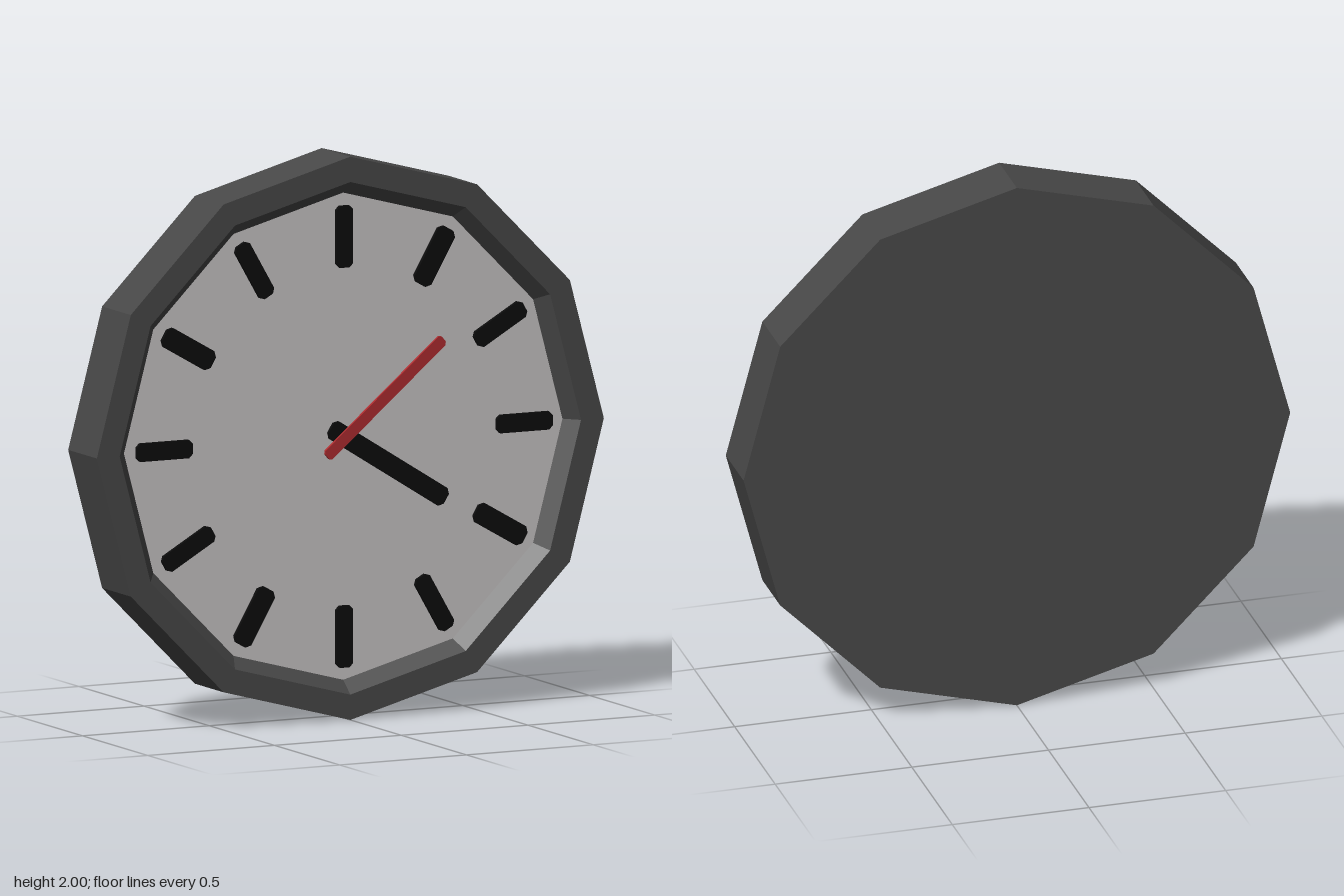
import * as THREE from 'three';

const material = (name, color) => {
  const m = new THREE.MeshStandardMaterial({ color, flatShading: true });
  m.name = name;
  return m;
};

// Bar along +y from y0 to y1 with clipped corners, given a small thickness
function barGeometry(width, y0, y1, depth) {
  const w = width / 2, c = width * 0.22;
  const shape = new THREE.Shape([
    [-w + c, y0], [w - c, y0], [w, y0 + c], [w, y1 - c],
    [w - c, y1], [-w + c, y1], [-w, y1 - c], [-w, y0 + c],
  ].map(([x, y]) => new THREE.Vector2(x, y)));
  return new THREE.ExtrudeGeometry(shape, { depth, bevelEnabled: false });
}

export function createModel() {
  const frameGrey = material('frame grey', 0x484848);
  const dialGrey = material('dial light grey', 0xc8c4c5);
  const black = material('marker black', 0x0c0c0c);
  const red = material('hand red', 0xae2c2f);

  const clock = new THREE.Group();
  clock.name = 'wallClock';
  const add = (name, geometry, mat, z = 0, turn = 0) => {
    const mesh = new THREE.Mesh(geometry, mat);
    mesh.name = name;
    mesh.position.set(0, 1, z);
    mesh.rotation.z = turn;
    clock.add(mesh);
  };

  // Twelve-sided case: closed back, outer wall, front rim, sloped inner lip
  const dialZ = 0.055, dialRadius = 0.865;
  const profile = [[0, -0.11], [1, -0.11], [1, 0.11], [0.91, 0.11], [dialRadius, dialZ]]
    .map(([r, y]) => new THREE.Vector2(r, y));
  add('frame', new THREE.LatheGeometry(profile, 12).rotateX(Math.PI / 2), frameGrey);

  // Recessed dial
  add('dial', new THREE.CircleGeometry(dialRadius, 12), dialGrey, dialZ);

  // Hour markers, the quarter ones slightly wider
  for (let i = 0; i < 12; i++) {
    const width = i % 3 === 0 ? 0.075 : 0.065;
    add('hourMarker' + (i + 1), barGeometry(width, 0.6, 0.82, 0.014),
      black, dialZ, -(i + 1) * Math.PI / 6);
  }

  // Hands, each with a short tail behind the pivot
  add('blackHand', barGeometry(0.07, -0.065, 0.47, 0.012), black, dialZ + 0.004,
    THREE.MathUtils.degToRad(-122));
  add('redHand', barGeometry(0.042, -0.1, 0.5, 0.01), red, dialZ + 0.018,
    THREE.MathUtils.degToRad(-50));

  return clock;
}
